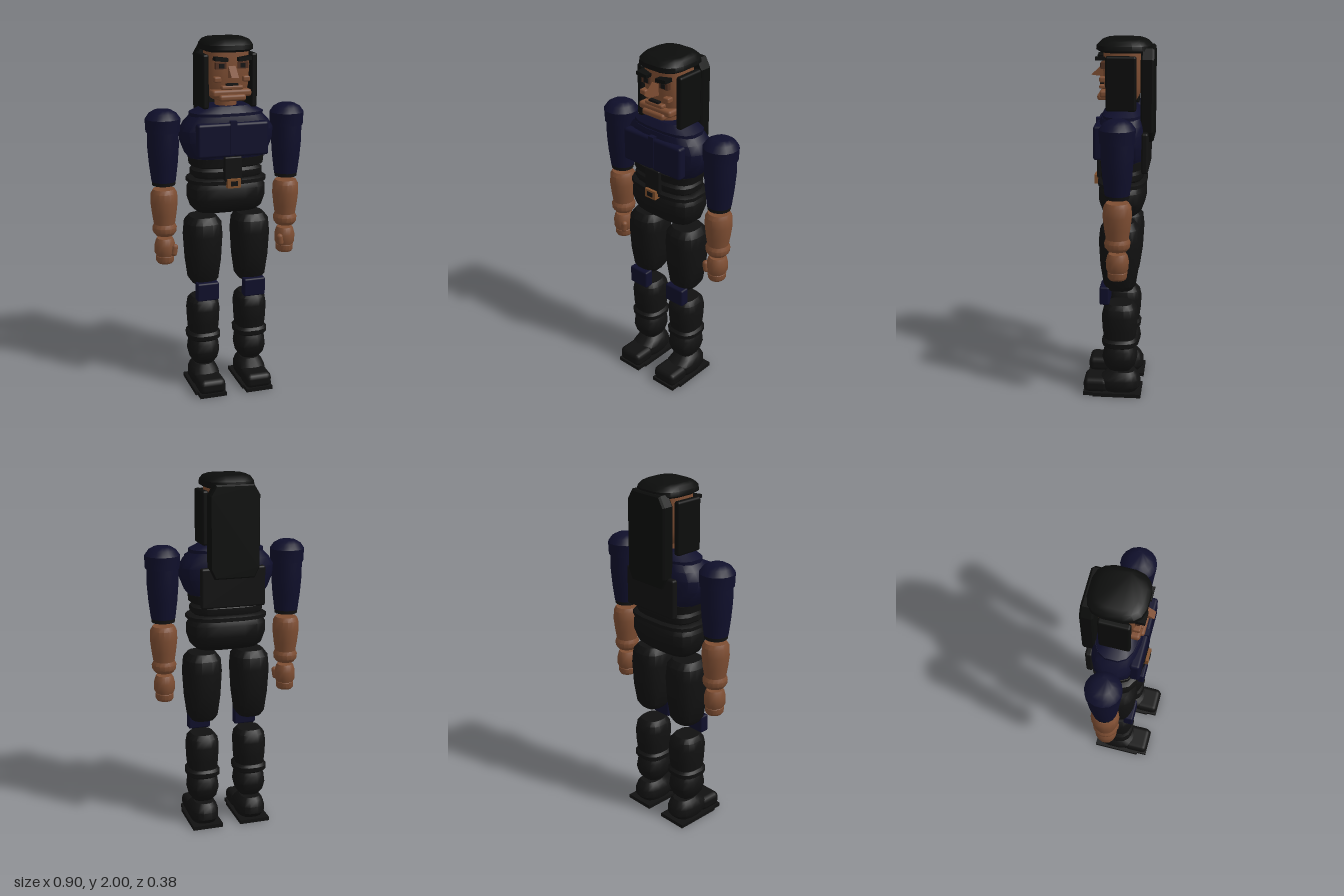
import * as THREE from 'three';
import { toCreasedNormals } from 'three/addons/utils/BufferGeometryUtils.js';
import { RoundedBoxGeometry } from 'three/addons/geometries/RoundedBoxGeometry.js';

const mat = (name, color) => {
  const m = new THREE.MeshStandardMaterial({ color });
  m.name = name;
  return m;
};
const M = {
  black: mat('black cloth', 0x111111),
  hair: mat('black hair', 0x0c0d0c),
  navy: mat('navy cloth', 0x0f0f2b),
  skin: mat('skin', 0x7d4d32),
  dark: mat('dark skin', 0x4f2f20),
  buckle: mat('bronze buckle', 0x80502c),
};

// Closed solid from stacked rings; row = [y, radiusX, radiusZ, offsetZ]
function loft(rows, sides = 16, squareness = 2) {
  const pos = [], idx = [];
  const pw = (v) => Math.sign(v) * Math.pow(Math.abs(v), 2 / squareness);
  for (const [y, rx, rz, oz = 0] of rows) {
    for (let i = 0; i < sides; i++) {
      const a = ((i + 0.5) / sides) * Math.PI * 2;
      pos.push(pw(Math.cos(a)) * rx, y, pw(Math.sin(a)) * rz + oz);
    }
  }
  const last = rows.length - 1;
  for (let r = 0; r < last; r++) {
    for (let i = 0; i < sides; i++) {
      const j = (i + 1) % sides, a = r * sides, b = a + sides;
      idx.push(a + i, b + i, a + j, a + j, b + i, b + j);
    }
  }
  for (let i = 1; i < sides - 1; i++) {
    const t = last * sides;
    idx.push(0, i, i + 1, t, t + i + 1, t + i);
  }
  const g = new THREE.BufferGeometry();
  g.setAttribute('position', new THREE.Float32BufferAttribute(pos, 3));
  g.setIndex(idx);
  return toCreasedNormals(g, 0.6);
}

export function createModel() {
  const model = new THREE.Group();
  model.name = 'figure';

  const add = (name, geo, material, x = 0, y = 0, z = 0) => {
    const m = new THREE.Mesh(geo, material);
    m.name = name;
    m.position.set(x, y, z);
    model.add(m);
    return m;
  };
  // Box given by its limits on each axis
  const box = (name, material, x0, x1, y0, y1, z0, z1, r = 0) => {
    const w = x1 - x0, h = y1 - y0, d = z1 - z0;
    const g = r ? new RoundedBoxGeometry(w, h, d, 2, r) : new THREE.BoxGeometry(w, h, d);
    return add(name, g, material, (x0 + x1) / 2, (y0 + y1) / 2, (z0 + z1) / 2);
  };
  const mirrorBox = (name, material, x0, x1, ...rest) => {
    box(name + 'Left', material, x0, x1, ...rest);
    box(name + 'Right', material, -x1, -x0, ...rest);
  };

  // Torso
  add('pelvis', loft([[1.05, 0.17, 0.08], [1.075, 0.2, 0.11], [1.13, 0.218, 0.13],
    [1.19, 0.218, 0.13], [1.22, 0.2, 0.115]], 16, 3), M.black, 0, 0, -0.02);
  add('belt', loft([[1.215, 0.2, 0.12], [1.22, 0.222, 0.135], [1.24, 0.222, 0.135],
    [1.25, 0.2, 0.12]], 16, 3), M.black, 0, 0, -0.02);
  add('waist', loft([[1.24, 0.18, 0.11], [1.26, 0.2, 0.118], [1.29, 0.2, 0.118],
    [1.305, 0.18, 0.105], [1.315, 0.205, 0.12], [1.36, 0.21, 0.125]], 16, 3), M.black, 0, 0, -0.02);
  add('chest', loft([[1.35, 0.205, 0.115], [1.38, 0.23, 0.125], [1.45, 0.258, 0.13],
    [1.51, 0.262, 0.13], [1.555, 0.235, 0.125], [1.59, 0.2, 0.115]], 16, 2.8), M.navy, 0, 0, -0.02);
  add('collar', loft([[1.575, 0.205, 0.11], [1.605, 0.205, 0.11], [1.63, 0.15, 0.09],
    [1.64, 0.13, 0.08]], 16, 2.8), M.navy, 0, 0, -0.02);
  mirrorBox('chestPlate', M.navy, 0.005, 0.2, 1.375, 1.56, 0.07, 0.125, 0.015);
  box('chestSeam', M.navy, -0.018, 0.018, 1.39, 1.57, 0.1, 0.128);
  box('frontStrap', M.black, -0.05, 0.05, 1.24, 1.375, 0.08, 0.12, 0.008);
  box('backPanel', M.black, -0.18, 0.18, 1.3, 1.52, -0.167, -0.13, 0.012);

  // Buckle frame with dark centre
  box('buckle', M.buckle, -0.037, 0.037, 1.205, 1.255, 0.1, 0.136);
  box('buckleCentre', M.black, -0.019, 0.019, 1.217, 1.243, 0.134, 0.139);

  // Head
  add('neck', loft([[1.61, 0.06, 0.06], [1.72, 0.06, 0.06]], 12), M.skin, 0, 0, -0.02);
  add('head', loft([[1.675, 0.08, 0.075], [1.7, 0.1, 0.09], [1.75, 0.115, 0.1],
    [1.86, 0.122, 0.107], [1.95, 0.115, 0.1]], 16, 3.2), M.skin, 0, 0, -0.02);
  box('jaw', M.skin, -0.11, 0.11, 1.695, 1.735, 0.02, 0.1, 0.015);
  box('chin', M.skin, -0.075, 0.075, 1.675, 1.71, 0.04, 0.115, 0.014);
  box('upperLip', M.skin, -0.06, 0.06, 1.735, 1.757, 0.06, 0.105, 0.008);
  box('mouth', M.black, -0.032, 0.032, 1.757, 1.768, 0.08, 0.103);
  const nose = new THREE.Shape([[0.07, 1.795], [0.15, 1.805], [0.09, 1.86], [0.07, 1.86]]
    .map(([z, y]) => new THREE.Vector2(-z, y)));
  add('nose', new THREE.ExtrudeGeometry(nose, { depth: 0.04, bevelEnabled: false })
    .rotateY(Math.PI / 2), M.skin, -0.02, 0, 0);
  mirrorBox('cheek', M.skin, 0.06, 0.1, 1.775, 1.805, 0.06, 0.1, 0.008);
  mirrorBox('eyeSocket', M.dark, 0.032, 0.09, 1.845, 1.88, 0.07, 0.094);
  mirrorBox('eye', M.black, 0.045, 0.072, 1.85, 1.873, 0.09, 0.098);
  for (const s of [1, -1]) {
    box('eyebrow' + (s > 0 ? 'Left' : 'Right'), M.hair, s * 0.065 - 0.035, s * 0.065 + 0.035,
      1.888, 1.908, 0.07, 0.122).rotation.z = s * 0.1;
  }

  // Hair
  add('hairCap', loft([[1.932, 0.12, 0.13], [1.945, 0.14, 0.15], [1.968, 0.138, 0.147],
    [1.99, 0.122, 0.125], [2.0, 0.1, 0.1]], 16, 3), M.hair, 0, 0, -0.028);
  mirrorBox('sideHair', M.hair, 0.117, 0.153, 1.63, 1.92, -0.1, 0.063, 0.012);
  const back = new THREE.Shape([[-0.1, 1.95], [-0.13, 1.9], [-0.13, 1.52], [-0.105, 1.47],
    [0.105, 1.47], [0.13, 1.52], [0.13, 1.9], [0.1, 1.95]].map((p) => new THREE.Vector2(...p)));
  add('backHair', new THREE.ExtrudeGeometry(back, { depth: 0.05, bevelThickness: 0.01,
    bevelSize: 0.008, bevelSegments: 1 }), M.hair, 0, 0, -0.182);

  for (const s of [1, -1]) {
    const side = s > 0 ? 'Left' : 'Right';

    // Arm
    const arm = (name, rows, material, sides = 16) =>
      add(name + side, loft(rows, sides), material, s * 0.355, 0, -0.02);
    arm('shoulder', [[1.51, 0.093, 0.093], [1.58, 0.096, 0.096], [1.61, 0.075, 0.075],
      [1.627, 0.045, 0.045]], M.navy);
    arm('upperArm', [[1.235, 0.066, 0.066], [1.33, 0.078, 0.078], [1.43, 0.086, 0.086],
      [1.52, 0.085, 0.085]], M.navy);
    arm('cuff', [[1.215, 0.063, 0.063], [1.24, 0.065, 0.065]], M.black);
    arm('forearm', [[0.98, 0.056, 0.058], [1.05, 0.067, 0.07], [1.12, 0.075, 0.078],
      [1.17, 0.072, 0.074], [1.192, 0.06, 0.06]], M.skin);
    arm('wrist', [[0.93, 0.05, 0.052], [0.95, 0.065, 0.068], [0.975, 0.068, 0.07],
      [1.0, 0.056, 0.058]], M.skin);
    arm('hand', [[0.805, 0.045, 0.05], [0.83, 0.058, 0.06], [0.87, 0.058, 0.062],
      [0.9, 0.05, 0.055], [0.912, 0.044, 0.048]], M.skin);
    arm('fingers', [[0.768, 0.042, 0.045], [0.78, 0.05, 0.052], [0.808, 0.05, 0.054],
      [0.815, 0.044, 0.048]], M.skin);
    const thumb = add('thumb' + side, new THREE.CapsuleGeometry(0.018, 0.035, 4, 10), M.skin,
      s * 0.312, 0.848, 0.025);
    thumb.rotation.z = s * 0.15;

    // Leg
    const leg = (name, rows, material, x = 0.14, q = 2.6) =>
      add(name + side, loft(rows, 16, q), material, s * x, 0, -0.015);
    leg('thigh', [[0.635, 0.065, 0.07], [0.665, 0.085, 0.09], [0.78, 0.1, 0.108],
      [0.92, 0.108, 0.116], [0.99, 0.102, 0.108], [1.025, 0.075, 0.08]], M.black, 0.138);
    box('kneePad' + side, M.navy, s * 0.137 - 0.063, s * 0.137 + 0.063, 0.55, 0.655, 0.04, 0.095, 0.01);
    leg('calf', [[0.31, 0.08, 0.085], [0.4, 0.088, 0.098], [0.48, 0.092, 0.102],
      [0.525, 0.085, 0.092], [0.55, 0.065, 0.07]], M.black);
    leg('bootBand', [[0.293, 0.08, 0.085], [0.305, 0.096, 0.1], [0.33, 0.097, 0.102],
      [0.345, 0.085, 0.09]], M.black);
    leg('bootShaft', [[0.15, 0.06, 0.065], [0.175, 0.078, 0.085], [0.225, 0.09, 0.1],
      [0.27, 0.085, 0.092], [0.3, 0.07, 0.075]], M.black);
    leg('foot', [[0.02, 0.07, 0.095], [0.05, 0.084, 0.118], [0.09, 0.084, 0.118, 0.002],
      [0.12, 0.072, 0.09, -0.01], [0.138, 0.055, 0.07, -0.015]], M.black);
    box('toe' + side, M.black, s * 0.138 - 0.077, s * 0.138 + 0.077, 0.015, 0.1, 0.05, 0.19, 0.03);
    box('sole' + side, M.black, s * 0.14 - 0.088, s * 0.14 + 0.088, 0, 0.022, -0.138, 0.135);
    box('soleTip' + side, M.black, s * 0.138 - 0.078, s * 0.138 + 0.078, 0, 0.022, 0.135, 0.19);
  }
  return model;
}
